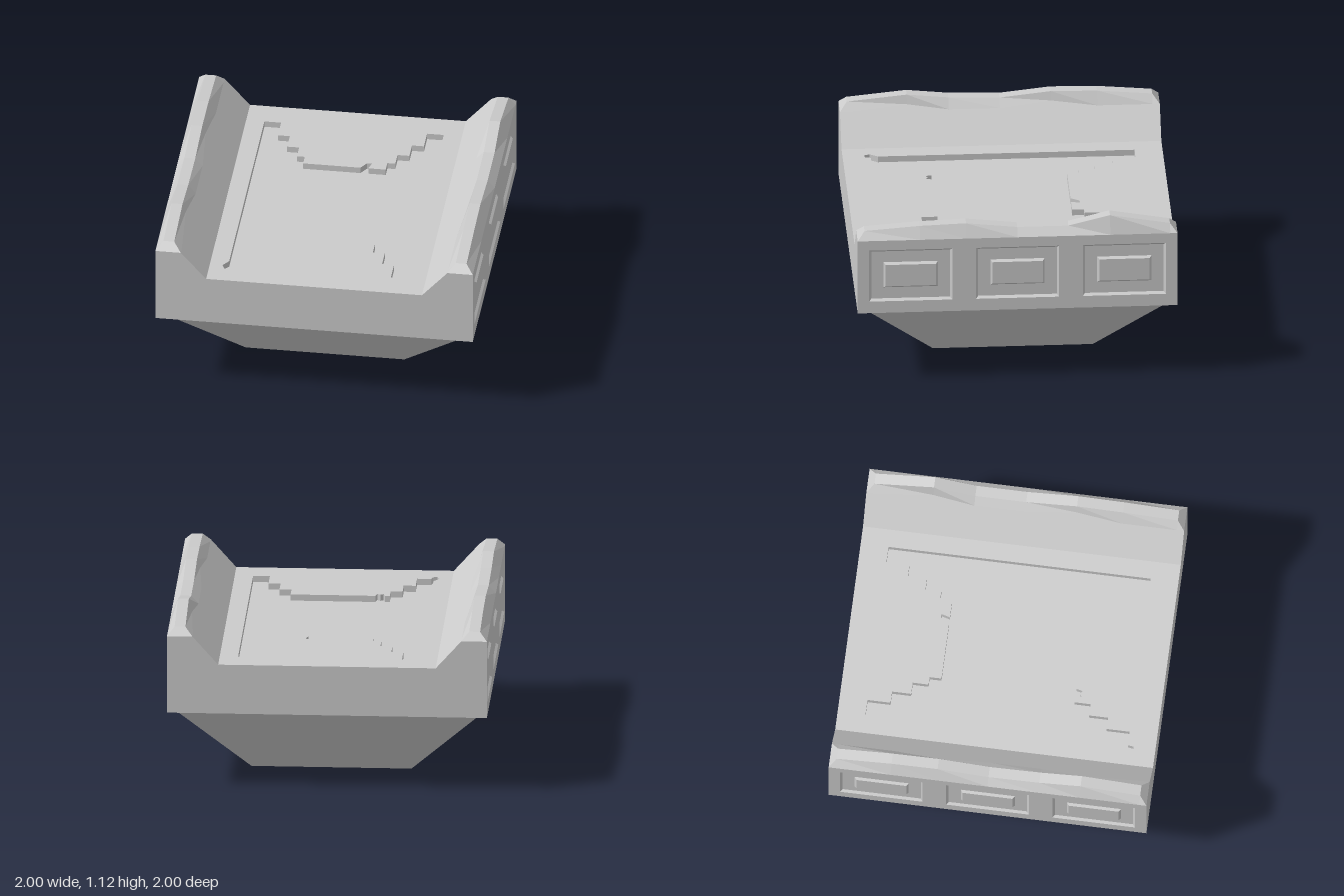
import * as THREE from 'three';

const material = new THREE.MeshStandardMaterial({ color: 0xcccccc, flatShading: true, side: THREE.DoubleSide });

function add(parent, name, geometry) {
  const mesh = new THREE.Mesh(geometry, material);
  mesh.name = name;
  parent.add(mesh);
  return mesh;
}

// Skin a list of equal-length point rings with quads
function loft(rings, closed) {
  const pos = [];
  for (let i = 0; i < rings.length - 1; i++) {
    const n = rings[i].length;
    for (let j = 0; j < (closed ? n : n - 1); j++) {
      const k = (j + 1) % n;
      const [a, b, c, d] = [rings[i][j], rings[i][k], rings[i + 1][k], rings[i + 1][j]];
      pos.push(...a, ...b, ...c, ...a, ...c, ...d);
    }
  }
  const g = new THREE.BufferGeometry();
  g.setAttribute('position', new THREE.Float32BufferAttribute(pos, 3));
  g.computeVertexNormals();
  return g;
}

const shapeOf = (pts) => new THREE.Shape(pts.map(([x, y]) => new THREE.Vector2(x, y)));
const rect = (u, v, w, h) => [[u - w, v - h], [u + w, v - h], [u + w, v + h], [u - w, v + h]];
// Points given as (x, z), laid flat facing up
const flat = (pts) => shapeOf(pts.map(([x, z]) => [x, -z]));

const FLOOR = 0.82, RECESS = 0.78, PANEL_Y = 0.757;

// Stepped outline of the sunken floor, with chipped edges
function recessOutline() {
  const steps = [[0.565, 0.825], [0.46, 0.825], [0.46, 0.68], [0.385, 0.68], [0.385, 0.56], [0.31, 0.56], [0.31, 0.46]];
  const mirror = (pts, sx, sz) => pts.map(([x, z]) => [x * sx, z * sz]);
  const back = [...steps, [0.26, 0.46], [0.26, 0.385]];
  return [
    [-0.565, 0.78], [-0.6, 0.83], [-0.585, 0.865], [-0.555, 0.86], [-0.55, 0.825],
    ...mirror(steps.slice(1), -1, 1),
    [-0.28, 0.46], [-0.27, 0.5], [-0.25, 0.485], [-0.23, 0.5], [-0.22, 0.46],
    ...[...steps].reverse(),
    ...mirror(back, 1, -1),
    [0.15, -0.385], [0.165, -0.44], [0.135, -0.44], [0.1, -0.385],
    ...mirror(back, -1, -1).reverse(),
  ];
}

// One long side: panelled wall and worn parapet, built on +x
function createSide(name, heights) {
  const side = new THREE.Group();
  side.name = name;
  const centres = [-0.668, 0, 0.668];

  const wall = shapeOf(rect(0, 0.75, 1, 0.25));
  for (const u of centres) wall.holes.push(shapeOf(rect(u, PANEL_Y, 0.26, 0.177)));
  add(side, 'sideWall', new THREE.ShapeGeometry(wall).rotateY(Math.PI / 2).translate(1, 0, 0));

  // Bevelled recess with a raised centre block: half width, half height, x
  const levels = [[0.26, 0.177, 1], [0.246, 0.163, 0.985], [0.17, 0.087, 0.985], [0.157, 0.074, 1], [0, 0, 1]];
  for (const u of centres) {
    const rings = levels.map(([w, h, x]) => rect(u, PANEL_Y, w, h).map(([a, y]) => [x, y, -a]));
    add(side, 'sidePanel', loft(rings, true));
  }

  // Parapet cross-sections from back to front, ends chamfered
  const zs = [-0.955, -0.58, -0.32, 0, 0.32, 0.61, 0.955];
  const end = (z) => [[1, 1, z], [1, 1, z], [0.84, 1, z], [0.84, 1, z], [0.68, FLOOR, z]];
  const sections = zs.map((z, i) => {
    const lift = i === 1 || i === 4 ? 0.03 : 0;
    return [[1, 1, z], [0.955, heights[i], z], [0.887, heights[i], z],
      [0.84 + lift * 0.89, 1 + lift, z], [0.68, FLOOR, z]];
  });
  add(side, 'parapet', loft([end(-1), ...sections, end(1)], false));
  return side;
}

export function createModel() {
  const model = new THREE.Group();
  model.name = 'stonePlatform';

  // Tapered foundation
  add(model, 'foundation', new THREE.CylinderGeometry(0.95 * Math.SQRT2, 0.5 * Math.SQRT2, 0.5, 4)
    .rotateY(Math.PI / 4).translate(0, 0.25, 0));
  add(model, 'underside', new THREE.PlaneGeometry(2, 2).rotateX(Math.PI / 2).translate(0, 0.5, 0));

  // Front and back walls
  const profile = shapeOf([[-1, 0.5], [1, 0.5], [1, 1], [0.84, 1], [0.68, FLOOR], [-0.68, FLOOR], [-0.84, 1], [-1, 1]]);
  add(model, 'frontWall', new THREE.ShapeGeometry(profile).translate(0, 0, 1));
  add(model, 'backWall', new THREE.ShapeGeometry(profile).rotateY(Math.PI).translate(0, 0, -1));

  // Walkway floor around the sunken area
  const outline = recessOutline();
  const deck = flat([[-0.68, 1], [0.68, 1], [0.68, -1], [-0.68, -1]]);
  deck.holes.push(flat(outline));
  add(model, 'deck', new THREE.ShapeGeometry(deck).rotateX(-Math.PI / 2).translate(0, FLOOR, 0));
  add(model, 'recessFloor', new THREE.ShapeGeometry(flat(outline)).rotateX(-Math.PI / 2).translate(0, RECESS, 0));
  add(model, 'recessWall', loft([FLOOR, RECESS].map((y) => outline.map(([x, z]) => [x, y, z])), true));

  // Broken shards on the recess steps
  const shards = [
    [[-0.31, -0.56], [-0.31, -0.495], [-0.285, -0.495], [-0.24, -0.535]],
    [[0.385, 0.56], [0.32, 0.56], [0.32, 0.59], [0.29, 0.61], [0.385, 0.675]],
  ];
  for (const pts of shards) {
    add(model, 'shard', new THREE.ExtrudeGeometry(flat(pts), { depth: 0.025, bevelEnabled: false })
      .rotateX(-Math.PI / 2).translate(0, RECESS, 0));
  }

  // Long sides; the second is turned half way round
  model.add(createSide('leftSide', [1.05, 1.115, 1.05, 1.05, 1.085, 1.075, 1.05]));
  const right = createSide('rightSide', [1.05, 1.087, 1.06, 1.05, 1.085, 1.08, 1.05]);
  right.rotation.y = Math.PI;
  model.add(right);

  return model;
}
